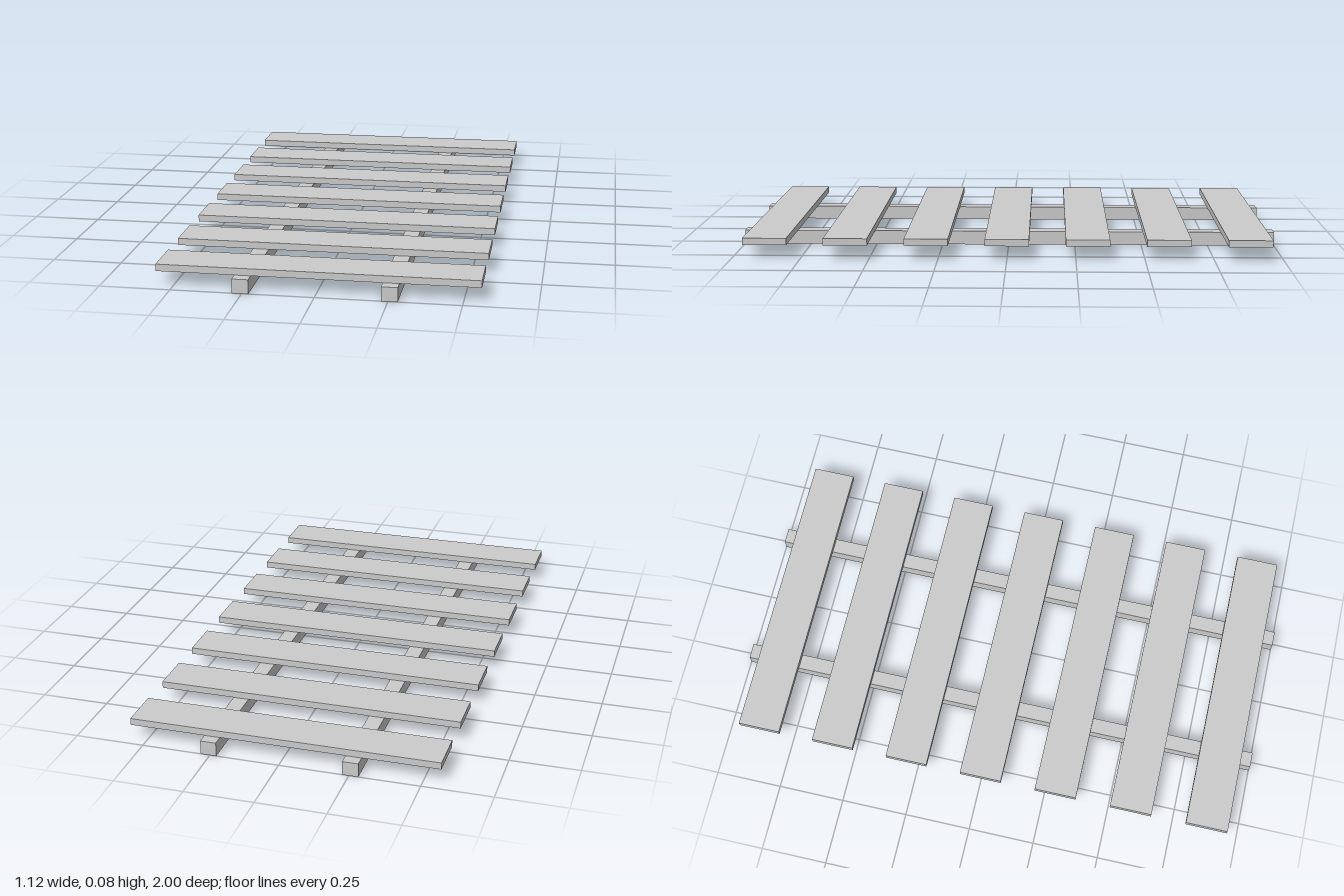
import * as THREE from 'three';

const material = new THREE.MeshStandardMaterial({ color: 0xcccccc, flatShading: true });

// Box resting on height y
function addBeam(group, name, [w, h, d], x, y, z) {
  const mesh = new THREE.Mesh(new THREE.BoxGeometry(w, h, d), material);
  mesh.name = name;
  mesh.position.set(x, y + h / 2, z);
  group.add(mesh);
}

export function createModel() {
  const model = new THREE.Group();
  model.name = 'plankWalkway';

  const railHeight = 0.051;
  const plankCount = 7;
  const plankSpacing = 0.293;

  // Two long rails on the ground
  for (const side of [-1, 1]) {
    addBeam(model, side > 0 ? 'leftRail' : 'rightRail', [0.057, railHeight, 2], side * 0.255, 0, 0);
  }

  // Evenly spaced cross planks on top of the rails
  for (let i = 0; i < plankCount; i++) {
    const z = (i - (plankCount - 1) / 2) * plankSpacing;
    addBeam(model, `plank${i + 1}`, [1.12, 0.025, 0.16], 0, railHeight, z);
  }

  return model;
}
